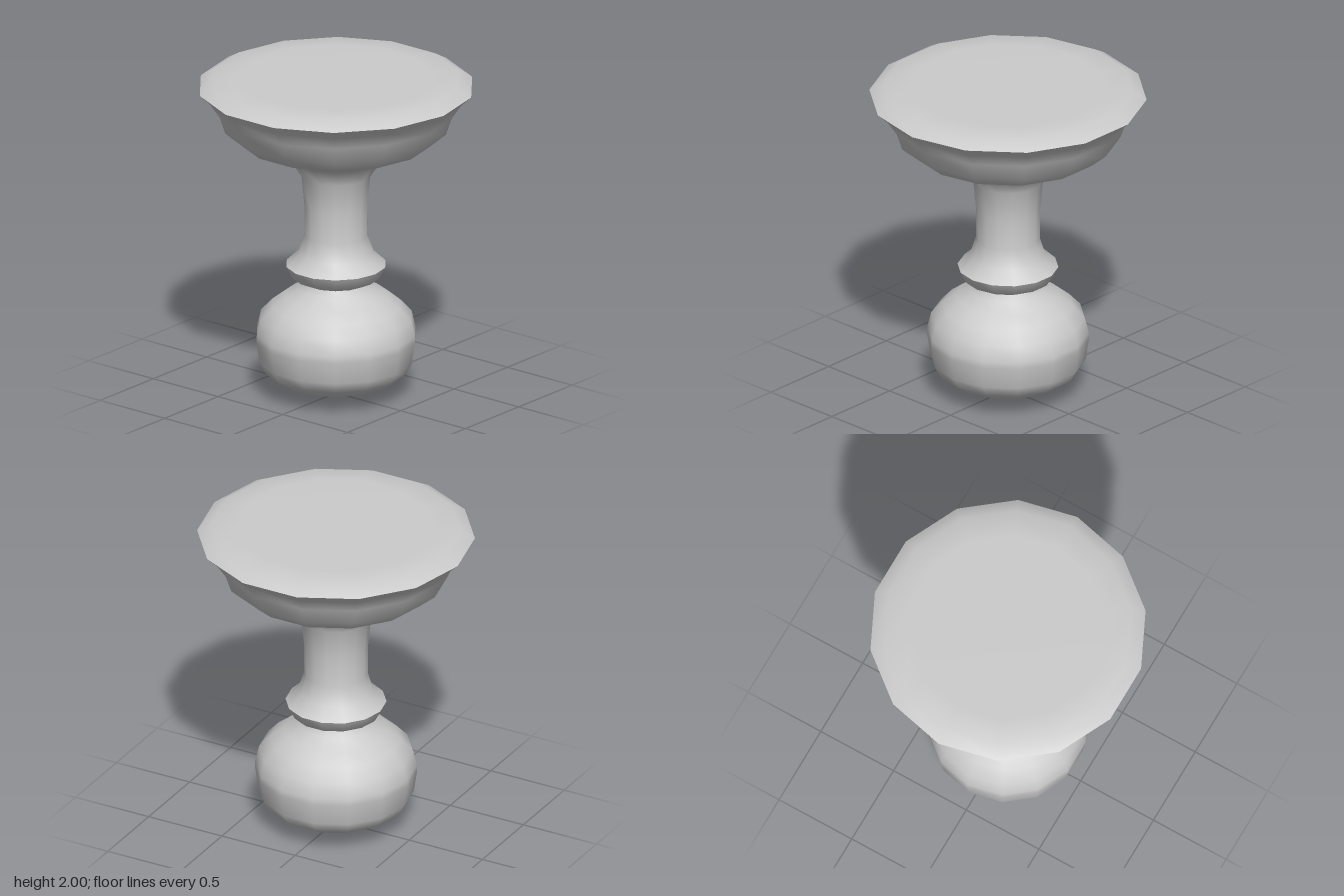
import * as THREE from 'three';

const SIDES = 14;

// Turned sections, each a list of [radius, height] from bottom to top.
// Neighbouring sections share a ring, so the joint between them stays crisp.
const SECTIONS = {
  knob: [
    [0, 0.005], [0.19, 0.045], [0.33, 0.095], [0.425, 0.155], [0.465, 0.225], [0.485, 0.36],
    [0.483, 0.4], [0.46, 0.495], [0.39, 0.57], [0.31, 0.63], [0.225, 0.68], [0.203, 0.72],
  ],
  collarUnderside: [[0.203, 0.72], [0.265, 0.75], [0.302, 0.823]],
  stemAndBowl: [
    [0.302, 0.823], [0.227, 0.895], [0.19, 1.01], [0.192, 1.2], [0.21, 1.39], [0.28, 1.495],
    [0.42, 1.56], [0.578, 1.613], [0.675, 1.695], [0.71, 1.8], [0.767, 1.885], [0.83, 1.945],
  ],
  rimAndTop: [[0.83, 1.945], [0.745, 1.993], [0.587, 2], [0, 2]],
};

export function createModel() {
  const model = new THREE.Group();
  model.name = 'turnedKnob';
  const material = new THREE.MeshStandardMaterial({ color: 0xcccccc });

  for (const [name, profile] of Object.entries(SECTIONS)) {
    const points = profile.map(([r, y]) => new THREE.Vector2(r, y));
    // Start at +x so a corner of the polygon points along the x axis
    const mesh = new THREE.Mesh(new THREE.LatheGeometry(points, SIDES, Math.PI / 2), material);
    mesh.name = name;
    model.add(mesh);
  }
  return model;
}
